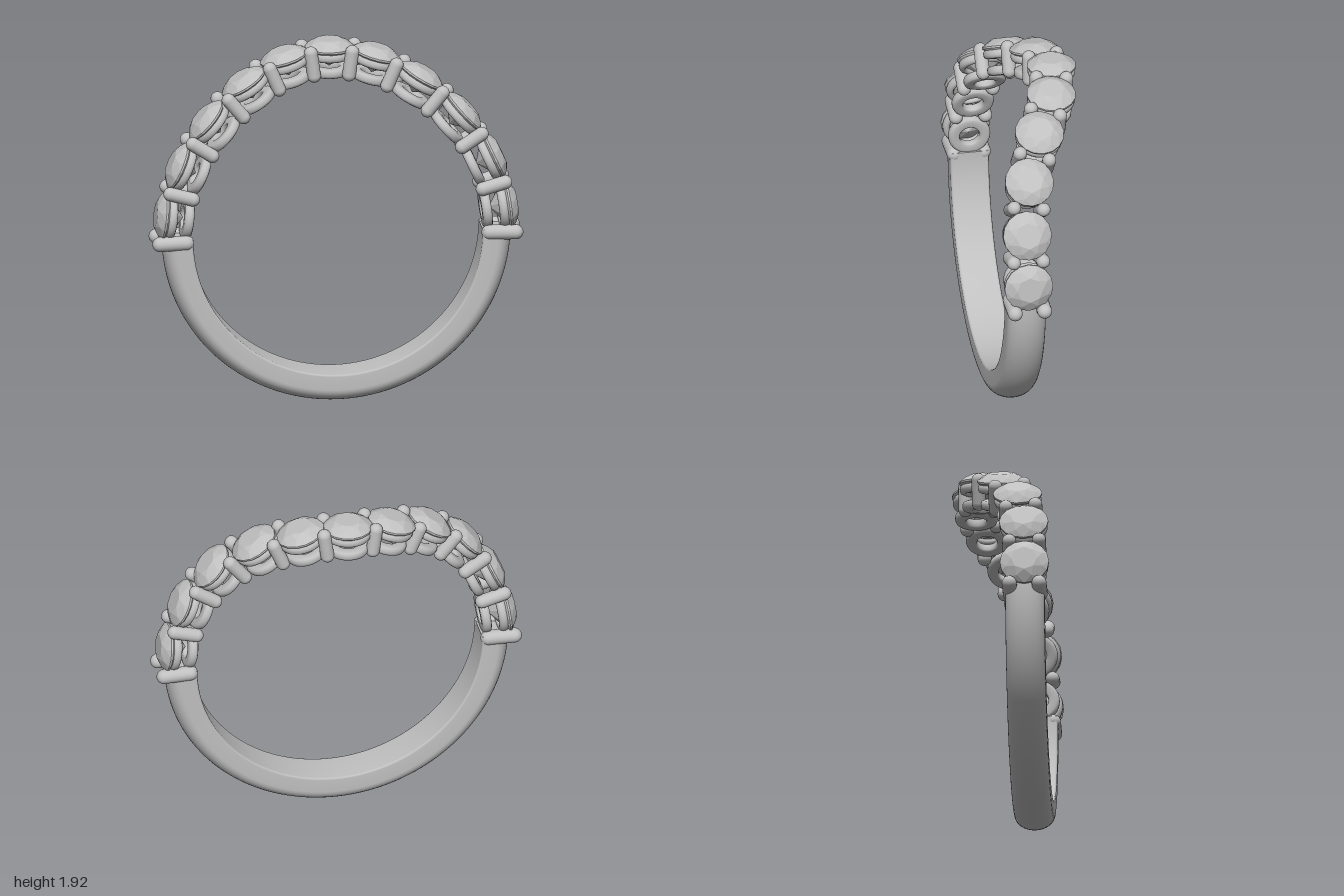
import * as THREE from 'three';
import { ConvexGeometry } from 'three/addons/geometries/ConvexGeometry.js';

const CENTRE_Y = 0.94;
const BAND_Z = 0.147;
const DEG = Math.PI / 180;

// Closed, rounded ring cross-section revolved about y
function ringGeometry(inner, outer, height) {
  const h = height / 2, b = Math.min(0.018, h * 0.75), f = 0.008;
  const pts = [[inner, 0], [inner, -h + f], [inner + f, -h], [outer - b, -h], [outer - b * 0.3, -h + b * 0.3],
    [outer, -h + b], [outer, h - b], [outer - b * 0.3, h - b * 0.3], [outer - b, h],
    [inner + f, h], [inner, h - f], [inner, 0]];
  return new THREE.LatheGeometry(pts.map(([x, y]) => new THREE.Vector2(x, y)), 40);
}

// Faceted round-cut stone, girdle at y = 0
function stoneGeometry() {
  const pts = [new THREE.Vector3(0, -0.105, 0)];
  const circle = (n, r, y, turn) => {
    for (let i = 0; i < n; i++) {
      const a = (i + turn) / n * Math.PI * 2;
      pts.push(new THREE.Vector3(Math.cos(a) * r, y, Math.sin(a) * r));
    }
  };
  circle(8, 0.07, 0.046, 0);
  circle(8, 0.105, 0.028, 0.5);
  circle(16, 0.132, 0.005, 0);
  circle(16, 0.132, -0.005, 0);
  circle(8, 0.065, -0.06, 0.5);
  return new ConvexGeometry(pts);
}

// Half band with a flat inside and a domed outside
function addBand(group, metal) {
  const w = 0.105, inner = 0.78, f = 0.012;
  const pts = [[inner, 0], [inner, -w + f], [inner + 0.004, -w + 0.004], [inner + f, -w]];
  for (let i = 0; i <= 16; i++) {
    const a = (i / 16 - 0.5) * Math.PI;
    pts.push([0.865 + 0.075 * Math.cos(a), w * Math.sin(a)]);
  }
  pts.push([inner + f, w], [inner + 0.004, w - 0.004], [inner, w - f], [inner, 0]);
  const profile = pts.map(([x, y]) => new THREE.Vector2(x, y));

  const band = new THREE.Group();
  band.name = 'band';
  band.position.set(0, CENTRE_Y - 0.005, BAND_Z);
  const hoop = new THREE.Mesh(
    new THREE.LatheGeometry(profile, 80, -Math.PI / 2, Math.PI).rotateX(Math.PI / 2), metal);
  hoop.name = 'halfHoop';
  hoop.position.y = 0.005;
  band.add(hoop);

  // End faces close the hoop
  for (const turn of [0, Math.PI]) {
    const cap = new THREE.Mesh(
      new THREE.ShapeGeometry(new THREE.Shape(profile)).rotateX(-Math.PI / 2).rotateY(turn), metal);
    cap.name = 'bandEnd';
    cap.position.y = 0.005;
    band.add(cap);
  }
  group.add(band);
}

export function createModel() {
  const group = new THREE.Group();
  group.name = 'ring';
  const metal = new THREE.MeshStandardMaterial({ color: 0xc0c0c0 });
  metal.name = 'silverGrey';

  addBand(group, metal);

  // Stone seats along the curved crest: angle from the top and z
  const half = [[0, -0.15], [15.5, -0.102], [31, 0.005], [48, 0.1], [65.5, 0.14], [83, BAND_Z]];
  const seats = [...half.slice(1).reverse().map(([a, z]) => [-a, z]), ...half];

  // Local y points radially outward at the given angle
  const place = (object, angle, z) => {
    object.position.set(0, CENTRE_Y, z);
    object.rotation.z = -angle * DEG;
    group.add(object);
  };

  const stone = stoneGeometry();
  const upperRing = ringGeometry(0.092, 0.127, 0.05);
  const lowerRing = ringGeometry(0.055, 0.114, 0.052);
  for (const [angle, z] of seats) {
    const setting = new THREE.Group();
    setting.name = 'stoneSetting';
    const parts = [['stone', stone, 0.935], ['upperRing', upperRing, 0.9], ['lowerRing', lowerRing, 0.81]];
    for (const [name, geometry, r] of parts) {
      const mesh = new THREE.Mesh(geometry, metal);
      mesh.name = name;
      mesh.position.y = r;
      setting.add(mesh);
    }
    place(setting, angle, z);
  }

  // Prong pairs between neighbouring stones, set square to the crest
  const ends = [[-99.8, BAND_Z], ...seats, [99.8, BAND_Z]];
  for (let i = 0; i < ends.length - 1; i++) {
    const [a0, z0] = ends[i], [a1, z1] = ends[i + 1];
    const isEnd = i === 0 || i === ends.length - 2;
    const slope = Math.atan2(z1 - z0, 0.92 * (a1 - a0) * DEG);
    const radius = isEnd ? 0.04 : 0.037;
    const bottom = 0.775, top = isEnd ? 1.0 : 0.976;
    const geometry = new THREE.CapsuleGeometry(radius, top - bottom - 2 * radius, 8, 20);
    const pair = new THREE.Group();
    pair.name = 'prongPair';
    for (const side of [-1, 1]) {
      const prong = new THREE.Mesh(geometry, metal);
      prong.name = side > 0 ? 'frontProng' : 'backProng';
      prong.position.set(-side * 0.08 * Math.sin(slope), (top + bottom) / 2, side * 0.08 * Math.cos(slope));
      pair.add(prong);
    }
    const angle = isEnd ? Math.sign(a0) * 91.3 : (a0 + a1) / 2;
    place(pair, angle, (z0 + z1) / 2);
  }
  return group;
}
